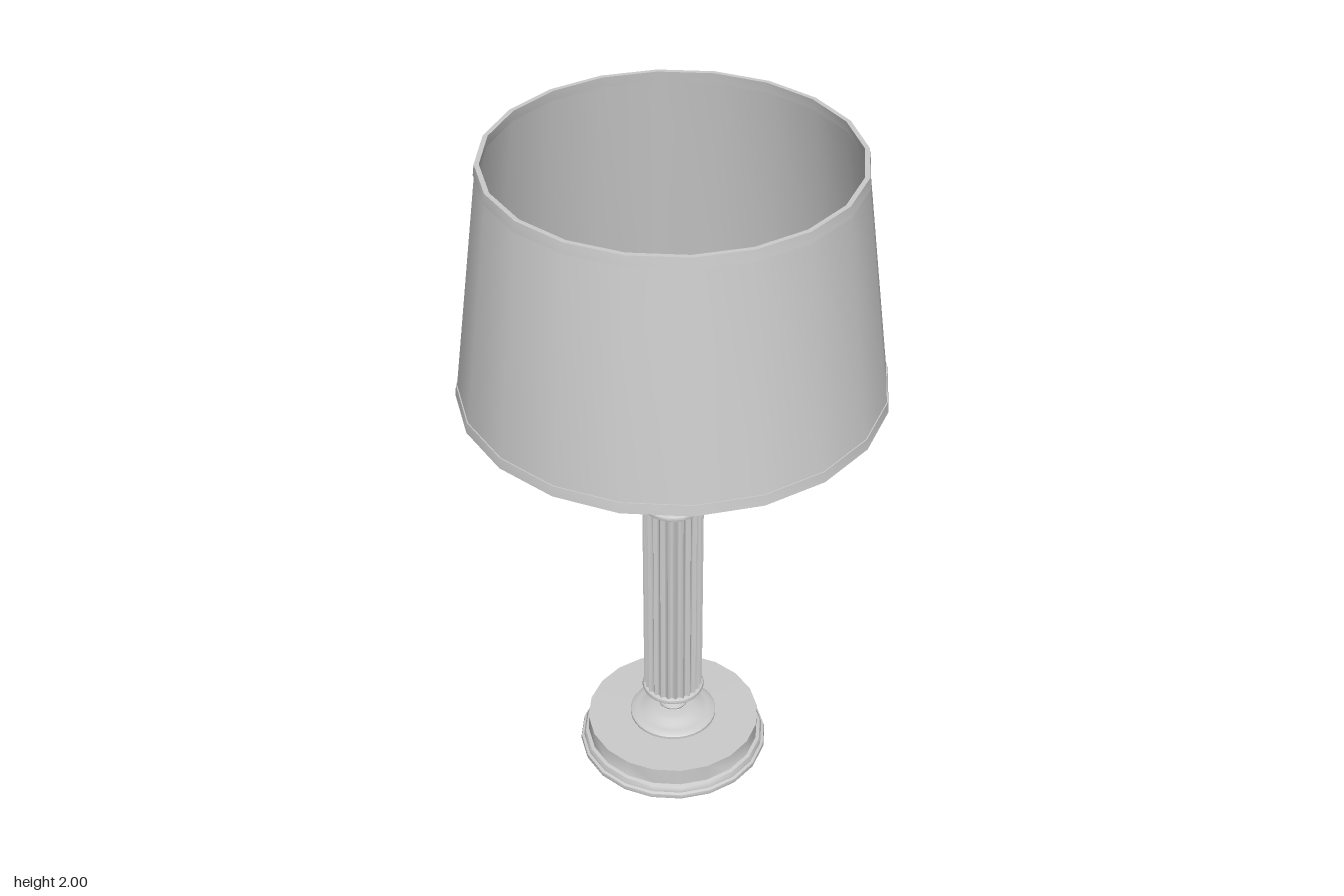
import * as THREE from 'three';
import { toCreasedNormals } from 'three/addons/utils/BufferGeometryUtils.js';

const material = new THREE.MeshStandardMaterial({ color: 0xcccccc, side: THREE.DoubleSide });

function addMesh(group, name, geometry, crease = 0.7) {
  const mesh = new THREE.Mesh(toCreasedNormals(geometry, crease), material);
  mesh.name = name;
  group.add(mesh);
  return mesh;
}

// Turned part from [radius, height] pairs
function turned(group, name, profile, sides = 32) {
  const points = profile.map(([r, y]) => new THREE.Vector2(r, y));
  return addMesh(group, name, new THREE.LatheGeometry(points, sides));
}

// Column drum: fluted shaft between two rounded end rings
function addDrum(group, name, bottom, top) {
  const drum = new THREE.Group();
  drum.name = name;
  const flutes = 24, steps = 6, radius = 0.088, depth = 0.009, ring = 0.018;
  const shaft = new THREE.CylinderGeometry(radius, radius, top - bottom - 2 * ring, flutes * steps, 1, true);
  const pos = shaft.attributes.position;
  for (let i = 0; i < pos.count; i++) {
    const a = Math.atan2(pos.getX(i), pos.getZ(i));
    const r = radius - depth * Math.abs(Math.sin((a * flutes) / 2));
    pos.setXYZ(i, r * Math.sin(a), pos.getY(i), r * Math.cos(a));
  }
  shaft.translate(0, (top + bottom) / 2, 0);
  addMesh(drum, 'flutedShaft', shaft);
  for (const [label, y] of [['lowerRing', bottom], ['upperRing', top - ring]]) {
    turned(drum, label, [
      [0.026, y], [0.086, y], [0.091, y + 0.003], [0.093, y + 0.009],
      [0.091, y + 0.015], [0.086, y + ring], [0.026, y + ring],
    ]);
  }
  group.add(drum);
}

// Point on the sloping shade wall, pushed outward by offset
const wall = (y, offset) => [0.587 - (0.09 * (y - 1.31)) / 0.69 + offset, y];

export function createModel() {
  const lamp = new THREE.Group();
  lamp.name = 'tableLamp';

  // Hollow stepped foot
  turned(lamp, 'foot', [
    [0.274, 0], [0.283, 0], [0.285, 0.006], [0.283, 0.014], [0.275, 0.017],
    [0.275, 0.026], [0.27, 0.034], [0.26, 0.037], [0.26, 0.093], [0.125, 0.095],
  ], 20);
  turned(lamp, 'footDome', [
    [0.125, 0.094], [0.13, 0.098], [0.13, 0.106], [0.125, 0.111], [0.108, 0.113],
    [0.092, 0.118], [0.078, 0.126], [0.06, 0.131], [0.04, 0.133],
  ]);

  // Turned necks joining the stacked parts
  turned(lamp, 'lowerNeck', [
    [0.034, 0.132], [0.042, 0.137], [0.044, 0.143], [0.041, 0.149], [0.03, 0.152],
    [0.027, 0.161], [0.031, 0.17], [0.034, 0.173], [0.036, 0.18], [0.046, 0.186],
    [0.06, 0.196], [0.066, 0.203],
  ]);
  addDrum(lamp, 'lowerColumn', 0.203, 0.918);
  turned(lamp, 'middleNeck', [
    [0.05, 0.918], [0.048, 0.923], [0.034, 0.927], [0.028, 0.934], [0.028, 0.94],
    [0.038, 0.946], [0.04, 0.952], [0.036, 0.957], [0.05, 0.962], [0.06, 0.972],
  ]);
  addDrum(lamp, 'upperColumn', 0.972, 1.23);
  turned(lamp, 'upperNeck', [
    [0.05, 1.23], [0.048, 1.235], [0.034, 1.238], [0.04, 1.244], [0.042, 1.25],
    [0.038, 1.256], [0.028, 1.259], [0.025, 1.268], [0.03, 1.276], [0.042, 1.281],
  ]);

  // Open bulb socket with a hole for the cable
  turned(lamp, 'socket', [
    [0.023, 1.279], [0.038, 1.28], [0.05, 1.286], [0.062, 1.297], [0.069, 1.311],
    [0.072, 1.33], [0.072, 1.555], [0.07, 1.56], [0.066, 1.56], [0.064, 1.555],
    [0.064, 1.33], [0.052, 1.302], [0.038, 1.29], [0.023, 1.288],
  ]);

  // Tapered shade with a thin trim band at each end
  const shade = new THREE.Group();
  shade.name = 'shade';
  turned(shade, 'shadeWall', [
    wall(1.313, 0), wall(1.997, 0), wall(1.997, -0.006), wall(1.313, -0.006), wall(1.313, 0),
  ], 20);
  for (const [name, y0, y1] of [['lowerTrim', 1.31, 1.34], ['upperTrim', 1.97, 2]]) {
    turned(shade, name, [
      wall(y0, 0.003), wall(y1, 0.003), wall(y1, -0.01), wall(y0, -0.01), wall(y0, 0.003),
    ], 20);
  }
  lamp.add(shade);
  return lamp;
}
